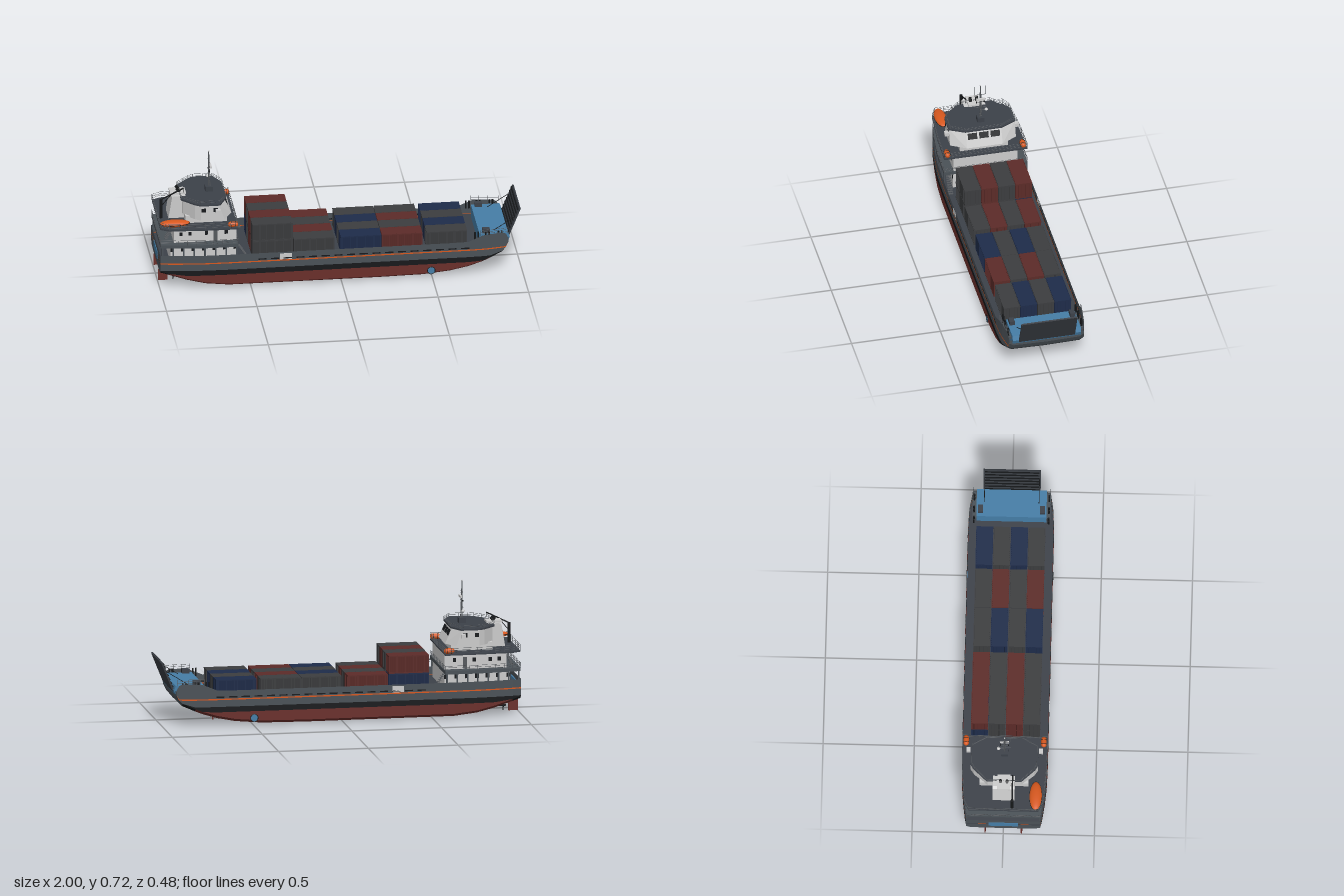
import * as THREE from 'three';
import { ConvexGeometry } from 'three/addons/geometries/ConvexGeometry.js';

const mat = (color, side = THREE.FrontSide) => new THREE.MeshStandardMaterial({ color, side });
const M = {
  red: mat(0x6a2e2a, 2), black: mat(0x16181a, 2), hull: mat(0x4a5157, 2), orange: mat(0xd8581e, 2), deck: mat(0x3c4149),
  white: mat(0xcccccc), blue: mat(0x457da6), glass: mat(0x15181b), rail: mat(0x55595d),
  boxR: mat(0x5c2b28), boxB: mat(0x1e2c4a), boxG: mat(0x3c3d3f), ramp: mat(0x363a40),
};

export function createModel() {
  const root = new THREE.Group();
  const add = (name, geo, m, x = 0, y = 0, z = 0, parent = root) => {
    const o = new THREE.Mesh(geo, m);
    o.name = name;
    o.position.set(x, y, z);
    parent.add(o);
    return o;
  };
  // box given by its extents
  const box = (name, m, x0, x1, y0, y1, z0, z1, parent) =>
    add(name, new THREE.BoxGeometry(x1 - x0, y1 - y0, z1 - z0), m, (x0 + x1) / 2, (y0 + y1) / 2, (z0 + z1) / 2, parent);
  const unitBar = new THREE.CylinderGeometry(1, 1, 1, 6);
  const bar = (name, m, a, b, r, parent) => {
    const p = new THREE.Vector3(...a), q = new THREE.Vector3(...b), d = q.clone().sub(p);
    const o = add(name, unitBar, m, 0, 0, 0, parent);
    o.position.copy(p).add(q).multiplyScalar(0.5);
    o.scale.set(r, d.length(), r);
    o.quaternion.setFromUnitVectors(new THREE.Vector3(0, 1, 0), d.normalize());
    return o;
  };
  const mirror = half => [...half, ...half.slice().reverse().map(([x, z]) => [x, -z])];
  // flat slab from a half outline
  const slab = (name, m, half, y, h) => {
    const shape = new THREE.Shape(mirror(half).map(p => new THREE.Vector2(...p)));
    const g = new THREE.ExtrudeGeometry(shape, { depth: h, bevelEnabled: false });
    return add(name, g.rotateX(-Math.PI / 2), m, 0, y, 0);
  };
  const railing = (name, pts, y, h, rows = 3) => {
    const g = new THREE.Group();
    g.name = name;
    root.add(g);
    for (let i = 0; i + 1 < pts.length; i++) {
      const [a, b] = [pts[i], pts[i + 1]];
      const n = Math.max(1, Math.round(Math.hypot(b[0] - a[0], b[1] - a[1]) / 0.045));
      for (let k = 0; k <= n; k++) {
        const x = a[0] + (b[0] - a[0]) * k / n, z = a[1] + (b[1] - a[1]) * k / n;
        bar('post', M.rail, [x, y, z], [x, y + h, z], 0.0011, g);
      }
      for (let r = 1; r <= rows; r++)
        bar('rail', M.rail, [a[0], y + h * r / rows, a[1]], [b[0], y + h * r / rows, b[1]], 0.0009, g);
    }
  };

  // Hull stations: x, half breadth, bottom, bulwark top
  const st = [[-0.997, 0.203, 0.085, 0.2], [-0.95, 0.212, 0.072, 0.2], [-0.85, 0.224, 0.042, 0.2], [-0.75, 0.232, 0.019, 0.2],
    [-0.62, 0.235, 0.005, 0.2], [0.2, 0.235, 0.003, 0.2], [0.45, 0.235, 0.006, 0.2], [0.6, 0.235, 0.02, 0.2], [0.7, 0.235, 0.04, 0.202],
    [0.78, 0.232, 0.064, 0.235], [0.82, 0.228, 0.08, 0.238], [0.89, 0.216, 0.11, 0.24], [0.91, 0.213, 0.13, 0.23], [0.925, 0.21, 0.16, 0.2]];
  const section = ([x, b, k, t]) => [[0, k], [b - 0.025, k + 0.004], [b, k + 0.02],
    ...[0.08, 0.11, 0.148, 0.155, t].map(y => [b, Math.max(y, k + 0.02)])].map(([z, y]) => [x, y, z]);
  const bands = { red: [], black: [], hull: [], orange: [] };
  const bandOf = ['', '', 'red', 'black', 'hull', 'orange', 'hull'];
  const flip = ([x, y, z]) => [x, y, -z];
  for (let i = 0; i + 1 < st.length; i++) {
    const A = section(st[i]), B = section(st[i + 1]);
    for (let j = 0; j < 7; j++) {
      const y = (A[j][1] + B[j][1]) / 2;
      const key = bandOf[j] || (y < 0.078 ? 'red' : y < 0.11 ? 'black' : 'hull');
      const q = [A[j], B[j], B[j + 1], A[j], B[j + 1], A[j + 1]];
      bands[key].push(...q.flat(), ...q.map(flip).reverse().flat());
    }
  }
  // transom and bow closing plates
  for (const s of [st[0], st[st.length - 1]]) {
    const P = section(s);
    for (let j = 0; j < 7; j++) {
      const q = [P[j], P[j + 1], flip(P[j + 1]), P[j], flip(P[j + 1]), flip(P[j])];
      bands[bandOf[j] === 'orange' ? 'orange' : 'hull'].push(...q.flat());
    }
  }
  for (const key in bands) {
    const g = new THREE.BufferGeometry();
    g.setAttribute('position', new THREE.Float32BufferAttribute(bands[key], 3));
    g.computeVertexNormals();
    add('hull ' + key, g, M[key]);
  }
  slab('mainDeck', M.deck, st.slice(0, 12).map(s => [s[0], s[1] - 0.002]), 0.14, 0.012);
  box('transomPanel', M.blue, -1, -0.99, 0.125, 0.17, -0.08, 0.08);

  // Hull side details, bow and stern gear on both sides
  for (const s of [1, -1]) {
    for (let i = 0; i < 17; i++)
      box('bulwarkSlot', M.glass, -0.46 + i * 0.07, -0.415 + i * 0.07, 0.161, 0.168, s * 0.2355 - 0.001, s * 0.2355 + 0.001);
    box('sidePanel', M.white, -0.34, -0.275, 0.157, 0.192, s * 0.2355 - 0.001, s * 0.2355 + 0.001);
    add('thrusterTunnel', new THREE.CylinderGeometry(0.021, 0.021, 0.012, 24).rotateX(Math.PI / 2), M.blue, 0.495, 0.042, s * 0.231);
    add('thrusterRim', new THREE.TorusGeometry(0.021, 0.002, 6, 24), M.black, 0.495, 0.042, s * 0.237);
    box('bowFin', M.red, 0.7, 0.708, 0.018, 0.05, s * 0.115 - 0.003, s * 0.115 + 0.003);
    bar('bowFinStrut', M.white, [0.704, 0.022, s * 0.105], [0.704, 0.046, s * 0.082], 0.003);
    box('rudder', M.red, -0.997, -0.945, 0.008, 0.072, s * 0.1 - 0.004, s * 0.1 + 0.004);
    bar('rudderStock', M.black, [-0.965, 0.06, s * 0.1], [-0.965, 0.1, s * 0.1], 0.005);
    bar('propellerShaft', M.black, [-0.93, 0.038, s * 0.1], [-0.8, 0.04, s * 0.1], 0.006);
    for (let k = 0; k < 4; k++) {
      const blade = add('propellerBlade', new THREE.SphereGeometry(1, 8, 6), M.black, -0.915, 0.038, s * 0.1);
      blade.geometry.scale(0.003, 0.013, 0.008).translate(0, 0.017, 0);
      blade.rotation.x = k * Math.PI / 2;
    }
    railing('bowRailing', [[0.77, s * 0.228], [0.86, s * 0.218], [0.92, s * 0.21]], 0.232, 0.032);
    for (const x of [0.74, 0.8, 0.87]) for (const d of [0, 0.018])
      bar('bollard', M.black, [x + d, 0.2, s * 0.205], [x + d, 0.245, s * 0.205], 0.005);
    box('winch', M.deck, 0.785, 0.825, 0.225, 0.25, s * 0.17 - 0.014, s * 0.17 + 0.014);
    box('bowPlatform', M.hull, 0.765, 0.9, 0.19, 0.206, Math.min(s * 0.19, s * 0.214), Math.max(s * 0.19, s * 0.214));
  }

  // Blue foredeck and bow ramp
  const fore = [];
  for (const z of [-0.192, 0.192]) for (const [x, y] of [[0.767, 0.15], [0.767, 0.226], [0.925, 0.226], [0.934, 0.2], [0.915, 0.15]])
    fore.push(new THREE.Vector3(x, y, z));
  add('foredeck', new ConvexGeometry(fore), M.blue);
  const ramp = new THREE.Group();
  ramp.name = 'bowRamp';
  ramp.position.set(0.929, 0.19, 0);
  ramp.rotation.z = -0.385;
  root.add(ramp);
  box('rampPlate', M.ramp, -0.004, 0.005, 0, 0.174, -0.157, 0.157, ramp);
  for (let i = 0; i < 7; i++) box('rampRib', M.black, -0.009, -0.004, 0.02 + i * 0.023, 0.026 + i * 0.023, -0.15, 0.15, ramp);
  for (const z of [-0.15, 0.15]) bar('rampStay', M.black, [0.85, 0.226, z], [0.968, 0.3, z], 0.0018);

  // Containers with corrugated sides
  const L = 0.224, W = 0.09, H = 0.099, side = [[-L / 2, W / 2]];
  for (let i = 0, n = 18, p = (L - 0.012) / n; i < n; i++) {
    const x = -L / 2 + 0.006 + i * p;
    side.push([x, W / 2], [x + p * 0.2, W / 2 - 0.003], [x + p * 0.5, W / 2 - 0.003], [x + p * 0.7, W / 2]);
  }
  side.push([L / 2, W / 2]);
  const plan = new THREE.Shape(mirror(side).map(p => new THREE.Vector2(...p)));
  const body = new THREE.ExtrudeGeometry(plan, { depth: H, bevelEnabled: false }).rotateX(-Math.PI / 2);
  const container = (m, x, y, z) => {
    const g = new THREE.Group();
    g.name = 'container';
    g.position.set(x, y, z);
    root.add(g);
    add('containerBody', body, m, 0, 0, 0, g);
    for (const s of [1, -1]) {
      for (const h of [0, H - 0.006]) box('containerRail', m, -L / 2, L / 2, h, h + 0.006, s * W / 2 - 0.002, s * W / 2 + 0.001, g);
      for (const z0 of [-0.03, -0.012, 0.012, 0.03]) bar('doorRod', m, [s * L / 2, 0.008, z0], [s * L / 2, H - 0.008, z0], 0.0015, g);
    }
  };
  const colors = { R: M.boxR, G: M.boxG, B: M.boxB }, rows = [-0.143, -0.048, 0.048, 0.143];
  [[-0.375, 0.152, 'BGRG'], [-0.375, 0.252, 'RGRG'], [-0.146, 0.152, 'RGRG'], [0.113, 0.152, 'GBGB'], [0.34, 0.152, 'GRGR'], [0.587, 0.152, 'BGBG']]
    .forEach(([x, y, c]) => rows.forEach((z, i) => container(colors[c[i]], x, y, z)));

  // Accommodation: two house levels with overhanging decks
  const edge2 = [[-0.995, 0.203], [-0.9, 0.218], [-0.75, 0.232], [-0.57, 0.234]];
  const edge3 = [[-0.995, 0.19], [-0.95, 0.215], [-0.75, 0.23], [-0.57, 0.233]];
  box('lowerHouse', M.white, -0.94, -0.575, 0.15, 0.248, -0.185, 0.185);
  slab('secondDeck', M.hull, edge2, 0.245, 0.019);
  box('upperHouse', M.white, -0.92, -0.575, 0.262, 0.352, -0.18, 0.18);
  slab('boatDeck', M.deck, edge3, 0.35, 0.008);
  const loop = e => { const m = mirror(e); return [...m, m[0]]; };
  railing('secondDeckRailing', loop(edge2), 0.264, 0.028);
  railing('boatDeckRailing', loop(edge3), 0.358, 0.033);
  for (const s of [1, -1]) {
    for (let i = 0; i < 8; i++) {
      const x = -0.985 + i * 0.058;
      const z = s * (0.203 + 0.031 * Math.sqrt(i / 7) - 0.003);
      box('galleryColumn', M.hull, x - 0.004, x + 0.004, 0.19, 0.25, z - 0.003, z + 0.003);
      if (i) box('galleryWindow', M.glass, x - 0.012, x + 0.008, 0.212, 0.236, s * 0.185 - 0.001, s * 0.185 + 0.001);
    }
    for (const x of [-0.88, -0.83, -0.74, -0.63])
      box('houseWindow', M.glass, x - 0.009, x + 0.009, 0.303, 0.325, s * 0.18 - 0.001, s * 0.18 + 0.001);
    box('houseDoor', M.rail, -0.7, -0.678, 0.266, 0.33, s * 0.18 - 0.001, s * 0.18 + 0.001);
    // liferaft canisters on the boat deck corners
    const raft = add('liferaft', new THREE.CapsuleGeometry(0.0155, 0.028, 4, 14).rotateZ(Math.PI / 2), M.orange, -0.595, 0.373, s * 0.213);
    for (const x of [-0.012, 0.012]) add('raftStrap', new THREE.TorusGeometry(0.016, 0.0012, 5, 16).rotateY(Math.PI / 2), M.black, x, 0, 0, raft);
    // stairs to the main deck and between house decks
    for (let k = 0; k < 9; k++) {
      box('stairStep', M.rail, -0.568 + k * 0.0065, -0.557 + k * 0.0065, 0.243 - k * 0.0105, 0.246 - k * 0.0105, s * 0.212 - 0.014, s * 0.212 + 0.014);
      box('aftStairStep', M.rail, -0.965 + k * 0.004, -0.95 + k * 0.004, 0.272 + k * 0.009, 0.275 + k * 0.009, s * 0.13 - 0.02, s * 0.13 + 0.02);
    }
  }

  // Wheelhouse with raked front
  box('wheelhouseBase', M.white, -0.85, -0.62, 0.356, 0.4, -0.135, 0.135);
  const rake = [[[-0.86, 0.09], [-0.8, 0.165], [-0.77, 0.185], [-0.64, 0.185], [-0.592, 0.1]], [[-0.86, 0.09], [-0.8, 0.165], [-0.77, 0.185], [-0.67, 0.185], [-0.632, 0.1]]];
  add('wheelhouse', new ConvexGeometry(rake.flatMap((h, i) => mirror(h).map(([x, z]) => new THREE.Vector3(x, i ? 0.478 : 0.392, z)))), M.white);
  const roof = [[-0.87, 0.095], [-0.8, 0.17], [-0.77, 0.188], [-0.665, 0.188], [-0.622, 0.103]];
  slab('wheelhouseRoof', M.deck, roof, 0.478, 0.009);
  railing('roofRailing', loop(roof.map(([x, z]) => [x, z * 0.95])), 0.487, 0.019, 2);
  for (const z of [-0.064, 0, 0.064])
    add('bridgeWindow', new THREE.BoxGeometry(0.004, 0.034, 0.052), M.glass, -0.619, 0.45, z).rotation.z = 0.435;
  for (const s of [1, -1]) {
    for (const x of [-0.755, -0.69]) box('sideWindow', M.glass, x - 0.012, x + 0.012, 0.44, 0.463, s * 0.185 - 0.001, s * 0.185 + 0.001);
    box('wingLight', M.white, -0.69, -0.665, 0.438, 0.459, s * 0.197 - 0.012, s * 0.197 + 0.012);
  }

  // Funnel casing and exhausts
  const casing = [];
  for (const z of [-0.06, 0.06]) for (const [x, y] of [[-0.935, 0.356], [-0.915, 0.48], [-0.9, 0.488], [-0.84, 0.488], [-0.84, 0.356]])
    casing.push(new THREE.Vector3(x, y, z));
  add('funnelCasing', new ConvexGeometry(casing), M.white);
  box('funnelTop', M.white, -0.922, -0.835, 0.486, 0.498, -0.036, 0.036);
  for (const z of [-0.018, 0.018]) bar('exhaustPipe', M.black, [-0.87, 0.495, z], [-0.885, 0.516, z], 0.009);

  // Lifeboat and its crane
  add('lifeboat', new THREE.SphereGeometry(1, 24, 14).scale(0.083, 0.018, 0.034), M.orange, -0.914, 0.38, 0.176);
  add('lifeboatFender', new THREE.TorusGeometry(1, 0.03, 6, 32).rotateX(Math.PI / 2).scale(0.082, 0.06, 0.034), M.black, -0.914, 0.38, 0.176);
  for (const x of [-0.95, -0.88]) box('boatCradle', M.rail, x - 0.004, x + 0.004, 0.356, 0.372, 0.15, 0.2);
  bar('cranePost', M.black, [-0.975, 0.356, 0.048], [-0.975, 0.47, 0.048], 0.009);
  bar('craneBoom', M.black, [-0.98, 0.465, 0.048], [-0.85, 0.53, 0.048], 0.004);
  bar('craneRam', M.black, [-0.972, 0.43, 0.048], [-0.92, 0.492, 0.048], 0.0025);
  bar('craneCable', M.black, [-0.852, 0.53, 0.048], [-0.852, 0.505, 0.048], 0.001);

  // Signal mast
  const mx = -0.705;
  box('mastBase', M.deck, mx - 0.02, mx + 0.02, 0.487, 0.515, -0.02, 0.02);
  bar('mastPole', M.rail, [mx, 0.5, 0], [mx, 0.725, 0], 0.0028);
  for (const z of [-0.008, 0.008]) bar('mastLeg', M.rail, [mx + 0.008, 0.5, z], [mx + 0.002, 0.68, z / 3], 0.0013);
  for (let y = 0.52; y < 0.67; y += 0.015) bar('mastRung', M.rail, [mx + 0.005, y, -0.007], [mx + 0.005, y, 0.007], 0.0009);
  for (const [y, w] of [[0.578, 0.034], [0.612, 0.022], [0.662, 0.031]]) bar('mastYard', M.rail, [mx, y, -w], [mx, y, w], 0.0016);
  box('radarScanner', M.white, mx + 0.004, mx + 0.014, 0.629, 0.641, -0.025, 0.025);
  for (const z of [-0.031, 0.031]) bar('whipAntenna', M.rail, [mx, 0.662, z], [mx, 0.718, z], 0.0008);
  for (const z of [-0.022, 0.022]) box('signalLight', M.black, mx - 0.003, mx + 0.003, 0.608, 0.616, z - 0.003, z + 0.003);
  bar('domeArm', M.rail, [mx, 0.555, 0], [mx, 0.555, -0.04], 0.0016);
  add('antennaDome', new THREE.SphereGeometry(0.01, 14, 6, 0, Math.PI * 2, 0, Math.PI / 2), M.white, mx, 0.556, -0.033);
  add('topLight', new THREE.SphereGeometry(0.004, 8, 6), M.white, mx, 0.723, 0);
  return root;
}
